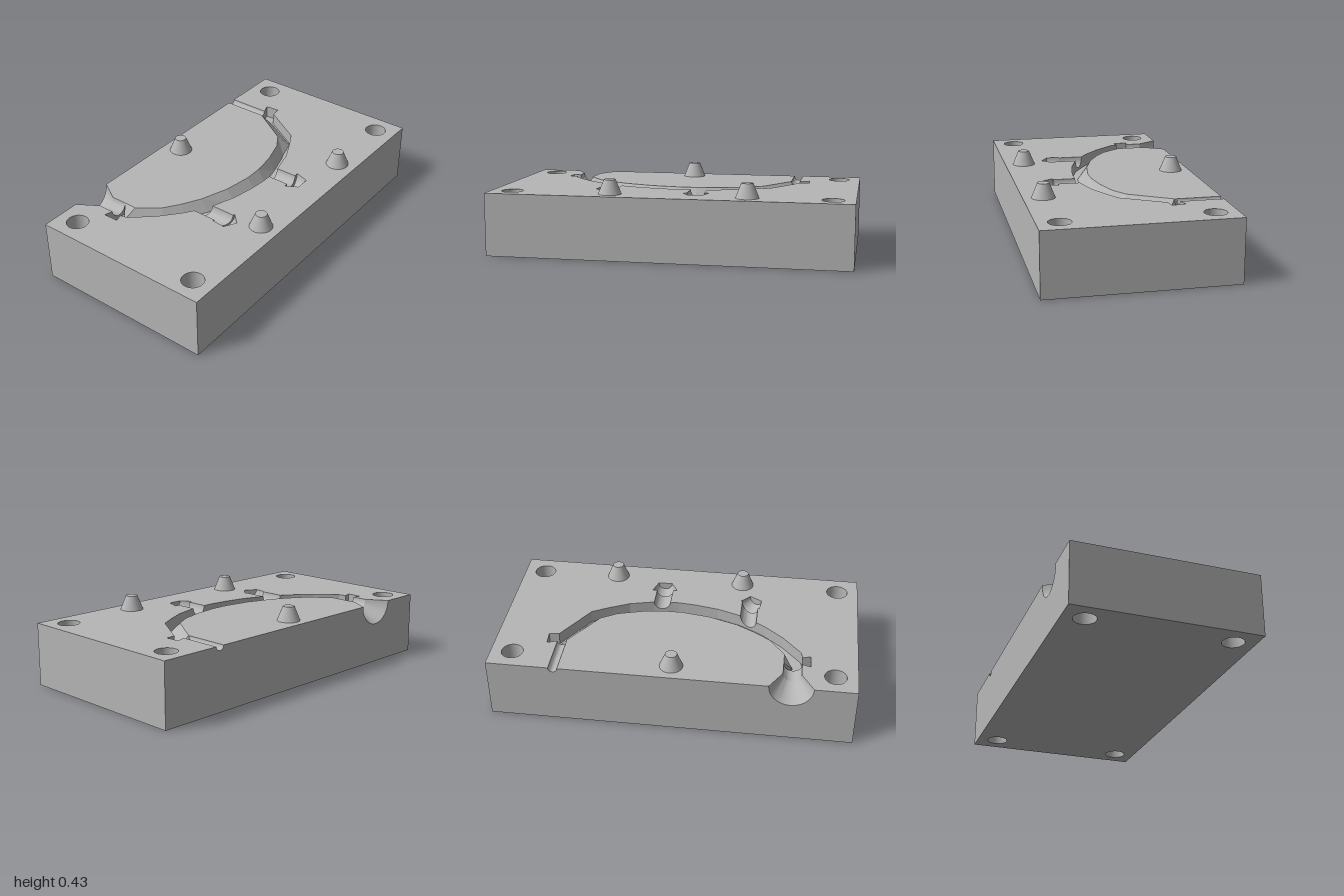
import * as THREE from 'three';
import { toCreasedNormals } from 'three/addons/utils/BufferGeometryUtils.js';

const W = 0.515, L = 1, TOP = 0.35, FLOOR = 0.28;

// Half circle hanging below the parting face, turned by angle a about y
function arc(x, z, r, a = 0, n = 14) {
  return Array.from({ length: n + 1 }, (_, i) => {
    const t = Math.PI * i / n, d = -r * Math.cos(t);
    return [x - d * Math.sin(a), TOP - r * Math.sin(t), z + d * Math.cos(a)];
  });
}
const first = (row) => row[0];
const last = (row) => row[row.length - 1];
const reversed = (row) => [...row].reverse();
const at = (y, pairs) => pairs.map(([x, z]) => [x, y, z]);
const dropTo = (y, pts) => pts.map((p) => [p[0], y, p[2]]);

// Surface through rows that have the same number of points
function loft(rows, crease = 0.5) {
  const n = rows[0].length, index = [];
  for (let j = 0; j < rows.length - 1; j++) {
    for (let i = 0; i < n - 1; i++) {
      const a = j * n + i, b = a + n;
      index.push(a, a + 1, b, a + 1, b + 1, b);
    }
  }
  const g = new THREE.BufferGeometry();
  g.setAttribute('position', new THREE.Float32BufferAttribute(rows.flat(2), 3));
  g.setIndex(index);
  return toCreasedNormals(g, crease);
}

// Flat polygon in space; u and v are the two axes it spans
function face(points, u, v, holes = [], flip = false) {
  const flat = (pts) => pts.map((p) => new THREE.Vector2(p[u], p[v]));
  const all = [points, ...holes].flat();
  const index = THREE.ShapeUtils.triangulateShape(flat(points), holes.map(flat)).flat();
  const g = new THREE.BufferGeometry();
  g.setAttribute('position', new THREE.Float32BufferAttribute(all.flat(), 3));
  g.setIndex(flip ? index.reverse() : index);
  const out = g.toNonIndexed();
  out.computeVertexNormals();
  return out;
}

export function createModel() {
  const group = new THREE.Group();
  const metal = new THREE.MeshStandardMaterial({ color: 0xb6b6b6, side: THREE.DoubleSide });
  metal.name = 'grey metal';
  const add = (name, geometry) => {
    const mesh = new THREE.Mesh(geometry, metal);
    mesh.name = name;
    group.add(mesh);
    return mesh;
  };

  // Channels that run in from the left-hand edge
  const vent = [arc(-W, -0.63, 0.025), arc(-0.275, -0.63, 0.025)];
  const sprue = [arc(-W, 0.65, 0.12), arc(-0.4, 0.65, 0.05), arc(-0.31, 0.65, 0.05)];

  // Barbed side pockets: neck start, neck end, head base, head tip
  const barbs = [
    [arc(0.165, -0.13, 0.047, -0.1), arc(0.288, -0.13, 0.047, -0.1),
      arc(0.288, -0.132, 0.072, -0.1), arc(0.36, -0.138, 0.04)],
    [arc(0.062, 0.38, 0.054, 0.52), arc(0.202, 0.38, 0.054, 0.52),
      arc(0.202, 0.38, 0.064, 0.52), arc(0.268, 0.41, 0.039, 0.52)],
  ];
  const barbOutline = (b) => [...b.map(first), ...reversed(b).map(last)];

  // Outer rim of the curved cavity, in three stretches between the barbs
  const rimBack = at(TOP, [[-0.295, -0.71], [-0.215, -0.715], [-0.21, -0.66], [0.02, -0.52],
    [0.07, -0.43], [0.125, -0.315]]);
  const rimMiddle = at(TOP, [[0.17, -0.03], [0.16, 0.07], [0.135, 0.2]]);
  const rimFront = at(TOP, [[0, 0.48], [-0.09, 0.585], [-0.21, 0.69], [-0.25, 0.7],
    [-0.24, 0.745], [-0.325, 0.745]]);

  // Inner rim and the foot of its sloping wall
  const innerTop = at(TOP, [[-0.26, -0.605], [-0.035, -0.46], [-0.035, -0.46], [0.02, -0.37],
    [0.06, -0.235], [0.08, -0.1], [0.08, 0], [0.055, 0.16], [0, 0.32], [-0.06, 0.43],
    [-0.12, 0.515], [-0.235, 0.6]]);
  const innerFoot = at(FLOOR, [[-0.215, -0.65], [0.012, -0.517], [0.045, -0.405], [0.06, -0.37],
    [0.1, -0.235], [0.13, -0.1], [0.13, 0], [0.11, 0.16], [0.045, 0.32], [-0.015, 0.43],
    [-0.09, 0.525], [-0.275, 0.65]]);

  // Bolt holes
  const bolts = [[-1, -1], [1, -1], [1, 1], [-1, 1]].map(([sx, sz]) => [sx * 0.395, sz * 0.88]);
  const boltCircles = (y) => bolts.map(([x, z]) => Array.from({ length: 32 }, (_, i) => {
    const t = Math.PI * 2 * i / 32;
    return [x + 0.06 * Math.sin(t), y, z + 0.06 * Math.cos(t)];
  }));
  for (const [x, z] of bolts) {
    add('boltHole', new THREE.CylinderGeometry(0.06, 0.06, TOP, 32, 1, true)).position.set(x, TOP / 2, z);
  }

  // Parting face, outside and inside the cavity
  add('outerTop', face([
    ...at(TOP, [[-W, L], [W, L], [W, -L], [-W, -L]]),
    ...vent.map(first), ...rimBack, ...barbOutline(barbs[0]), ...rimMiddle,
    ...barbOutline(barbs[1]), ...rimFront, ...reversed(sprue).map(last),
  ], 0, 2, boltCircles(TOP), true));
  add('islandTop', face([
    ...vent.map(last), ...innerTop.filter((_, i) => i !== 2), ...reversed(sprue).map(first),
  ], 0, 2, [], true));

  // Cavity walls and floor
  const wallRim = [...reversed(vent[1]), ...rimBack, ...barbs[0][0], ...rimMiddle,
    ...barbs[1][0], ...rimFront, ...reversed(sprue[2])];
  const ventEnd = last(vent[1]), sprueEnd = first(sprue[2]);
  const wallFoot = dropTo(FLOOR, wallRim);
  add('cavityOuterWall', loft([wallRim, wallFoot], 0.1));
  add('cavityInnerWall', loft([
    [ventEnd, ...innerTop, sprueEnd],
    [...dropTo(FLOOR, [ventEnd]), ...innerFoot, ...dropTo(FLOOR, [sprueEnd])],
  ], 0.1));
  add('cavityFloor', face([...wallFoot, ...reversed(innerFoot)], 0, 2, [], true));

  // Channel and barb surfaces
  add('ventChannel', loft(vent));
  add('sprueFunnel', loft(sprue));
  for (const b of barbs) {
    const tip = b[3], a = first(tip), c = last(tip);
    const centre = [(a[0] + c[0]) / 2, TOP, (a[2] + c[2]) / 2];
    add('barbPocket', loft([...b, tip.map(() => centre)]));
  }

  // Outside of the block
  add('leftEdge', face([
    [-W, 0, -L], [-W, 0, L], [-W, TOP, L], ...reversed(sprue[0]), ...reversed(vent[0]), [-W, TOP, -L],
  ], 2, 1));
  add('rightEdge', face([[W, 0, L], [W, 0, -L], [W, TOP, -L], [W, TOP, L]], 2, 1));
  for (const z of [L, -L]) {
    add('endFace', face([[-W, 0, z], [W, 0, z], [W, TOP, z], [-W, TOP, z]], 0, 1, [], z < 0));
  }
  add('bottom', face(at(0, [[-W, -L], [W, -L], [W, L], [-W, L]]), 0, 2, boltCircles(0)));

  // Tapered locating pegs
  for (const [x, z] of [[-0.41, 0], [0.405, -0.43], [0.405, 0.32]]) {
    add('locatingPeg', new THREE.CylinderGeometry(0.032, 0.064, 0.08, 32)).position.set(x, TOP + 0.04, z);
  }
  return group;
}
